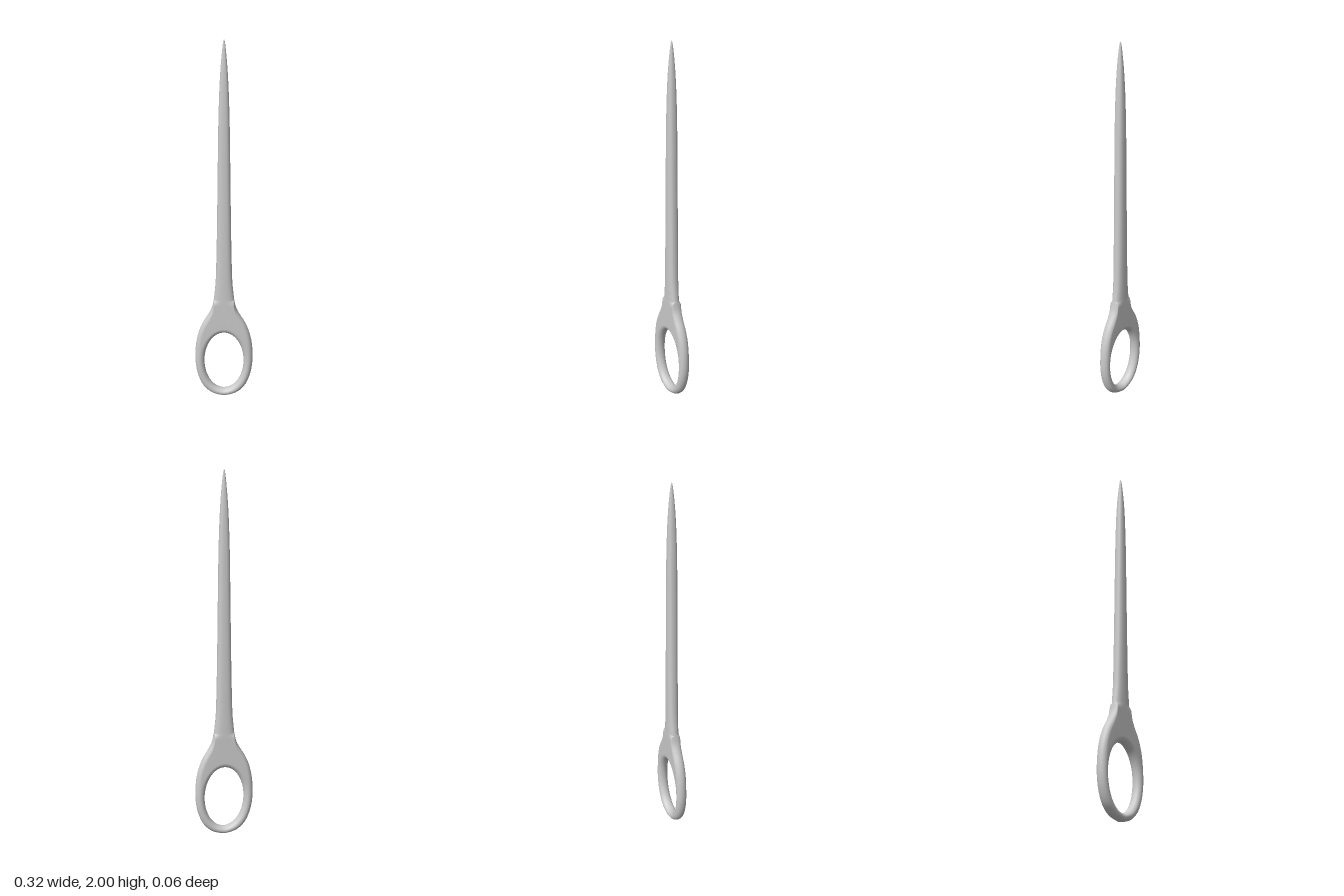
import * as THREE from 'three';
import { mergeGeometries, mergeVertices } from 'three/addons/utils/BufferGeometryUtils.js';

const H = 0.029;        // half thickness of the handle
const NECK = 0.6;       // height where the handle meets the shaft
const NECK_W = 0.056;   // half width at the neck
const QUARTER = 7;      // shaft segments per quarter turn

// Skin a grid of points (rows of equal length) with quads
function skin(rows) {
  const cols = rows[0].length;
  const index = [];
  for (let i = 0; i < rows.length - 1; i++) {
    for (let j = 0; j < cols - 1; j++) {
      const a = i * cols + j, b = a + cols;
      index.push(a, b, b + 1, a, b + 1, a + 1);
    }
  }
  const geo = new THREE.BufferGeometry();
  geo.setAttribute('position', new THREE.Float32BufferAttribute(rows.flat(2), 3));
  geo.setIndex(index);
  return geo;
}

// Rounded-square section point at angle t
function sectionPoint(w, d, t) {
  const round = (v) => Math.abs(v) < 1e-9 ? 0 : Math.sign(v) * Math.abs(v) ** 0.8;
  return [w * round(Math.cos(t)), d * round(Math.sin(t))];
}

// Tapering shaft: half width, height, half depth
function shaftGeometry() {
  const path = new THREE.CatmullRomCurve3([
    [NECK_W, NECK, H], [0.046, 0.7, H], [0.041, 0.85, H], [0.037, 1.05, 0.0285],
    [0.032, 1.4, 0.027], [0.028, 1.62, 0.025], [0.021, 1.8, 0.02],
    [0.012, 1.92, 0.012], [0.003, 1.993, 0.003], [0, 2, 0],
  ].map((p) => new THREE.Vector3(...p)), false, 'centripetal');
  const rows = [];
  for (let i = 0; i <= 54; i++) {
    const p = path.getPoint(i / 54);
    const row = [];
    for (let j = 0; j <= 4 * QUARTER; j++) {
      const [x, z] = sectionPoint(p.x, p.z, (j / QUARTER) * Math.PI / 2);
      row.push([x, p.y, z]);
    }
    rows.push(row);
  }
  return skin(rows);
}

// Handle: sections swept around the oval hole, open at the neck to join the shaft
function handleGeometry() {
  const side = new THREE.SplineCurve([
    [0, 0.005], [0.065, 0.022], [0.115, 0.065], [0.145, 0.13], [0.159, 0.2], [0.161, 0.27],
    [0.155, 0.34], [0.14, 0.405], [0.117, 0.46], [0.09, 0.505], [0.067, 0.55], [NECK_W, NECK],
  ].map((p) => new THREE.Vector2(...p)));
  const half = side.getPoints(44).map((p) => [p.x, p.y, 0]);
  for (let k = 1; k <= QUARTER; k++) {
    const [x, z] = sectionPoint(NECK_W, H, (k / QUARTER) * Math.PI / 2);
    half.push([x, NECK, z]);
  }
  const mirrored = half.slice(0, -1).reverse().map(([x, y, z]) => [-x, y, z]);

  const rows = [...half, ...mirrored].map(([x, y, edge]) => {
    // Matching point on the rim of the hole
    const phi = Math.atan2(x / 0.11, (y - 0.224) / 0.176);
    const ix = 0.11 * Math.sin(phi), iy = 0.224 + 0.176 * Math.cos(phi);
    const width = Math.hypot(ix - x, iy - y);
    const r = Math.min(0.03, width / 2);
    const front = [];
    const add = (dist, z) => {
      const u = dist / width;
      front.push([x + (ix - x) * u, y + (iy - y) * u, z]);
    };
    for (let k = 0; k <= 6; k++) {
      const a = (k / 6) * Math.PI / 2;
      add(r * (1 - Math.cos(a)), Math.sqrt(edge ** 2 + (H ** 2 - edge ** 2) * Math.sin(a) ** 2));
    }
    for (let k = 6; k >= 0; k--) {
      const a = (k / 6) * Math.PI / 2;
      add(width - r * (1 - Math.cos(a)), H * Math.sin(a));
    }
    const back = front.slice(0, -1).reverse().map(([px, py, pz]) => [px, py, -pz]);
    return [...front, ...back];
  });
  return skin(rows);
}

export function createModel() {
  const group = new THREE.Group();
  group.name = 'ringHandledSpike';
  // Weld both halves so the neck shades smoothly
  const geo = mergeVertices(mergeGeometries([handleGeometry(), shaftGeometry()]), 1e-5);
  geo.computeVertexNormals();
  const body = new THREE.Mesh(geo, new THREE.MeshStandardMaterial({ color: 0xcccccc }));
  body.name = 'spikeAndRingHandle';
  group.add(body);
  return group;
}
